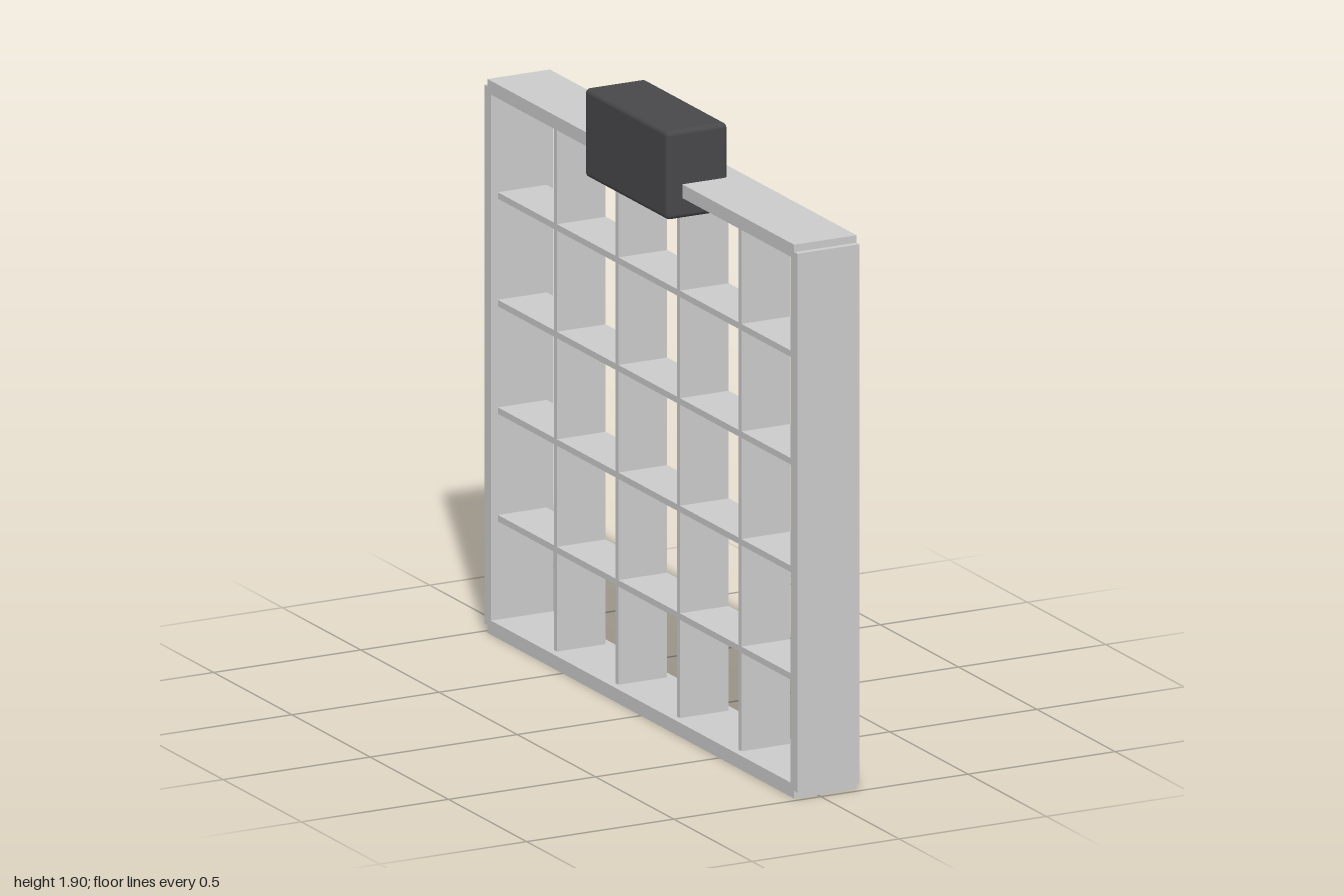
import * as THREE from 'three';
import { RoundedBoxGeometry } from 'three/addons/geometries/RoundedBoxGeometry.js';

export function createModel() {
  const model = new THREE.Group();
  model.name = 'gridPanel';
  const grey = new THREE.MeshStandardMaterial({ color: 0xcccccc });
  const dark = new THREE.MeshStandardMaterial({ color: 0x48484b });

  // Box placed by its min/max extents on each axis
  function slab(name, [x0, x1], [y0, y1], [z0, z1]) {
    const mesh = new THREE.Mesh(new THREE.BoxGeometry(x1 - x0, y1 - y0, z1 - z0), grey);
    mesh.position.set((x0 + x1) / 2, (y0 + y1) / 2, (z0 + z1) / 2);
    mesh.name = name;
    model.add(mesh);
  }

  const frameX = [-0.08, 0.132];
  const dividerX = [-0.057, 0.109]; // slightly recessed from the frame faces
  const t = 0.01; // half thickness of dividers

  // Outer frame: rails and stiles with stepped corners
  slab('bottomRail', frameX, [0, 0.044], [-0.98, 0.98]);
  slab('topRail', frameX, [1.692, 1.735], [-0.98, 0.98]);
  slab('frontStile', frameX, [0.024, 1.712], [0.957, 1]);
  slab('backStile', frameX, [0.024, 1.712], [-1, -0.957]);

  // Inner grid: four upright dividers and four shelves
  for (let i = 0; i < 4; i++) {
    const z = (i - 1.5) * 0.393;
    const y = 0.8675 + (i - 1.5) * 0.337;
    slab('uprightDivider', dividerX, [0.04, 1.695], [z - t, z + t]);
    slab('shelf', dividerX, [y - t, y + t], [-0.96, 0.96]);
  }

  // Dark rounded block straddling the top rail
  const block = new THREE.Mesh(new RoundedBoxGeometry(0.208, 0.278, 0.53, 4, 0.016), dark);
  block.position.set(-0.028, 1.766, 0);
  block.name = 'topBlock';
  model.add(block);

  return model;
}
